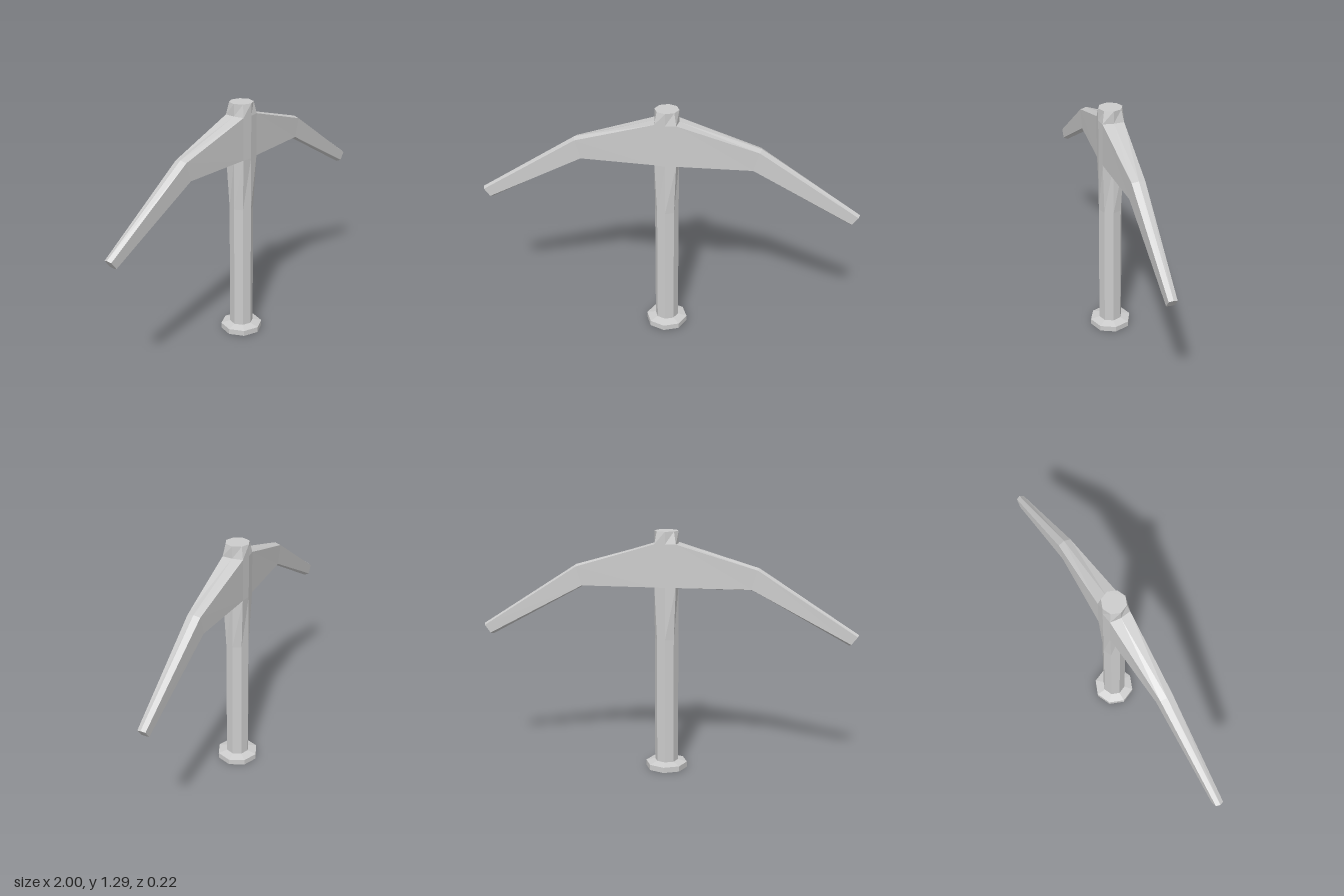
import * as THREE from 'three';

const material = new THREE.MeshStandardMaterial({ color: 0xcccccc, flatShading: true, side: THREE.DoubleSide });

// Skins a list of equal-length rings of [x, y, z] points and closes the last ring.
function loft(name, rings, capEnd = true) {
  const n = rings[0].length;
  const index = [];
  for (let r = 0; r < rings.length - 1; r++) {
    for (let i = 0; i < n; i++) {
      const j = (i + 1) % n;
      const a = r * n + i, b = r * n + j;
      index.push(a, a + n, b, b, a + n, b + n);
    }
  }
  if (capEnd) {
    const o = (rings.length - 1) * n;
    for (let i = 1; i < n - 1; i++) index.push(o, o + i + 1, o + i);
  }
  const indexed = new THREE.BufferGeometry();
  indexed.setAttribute('position', new THREE.Float32BufferAttribute(rings.flat(2), 3));
  indexed.setIndex(index);
  const geometry = indexed.toNonIndexed();
  geometry.computeVertexNormals();
  const mesh = new THREE.Mesh(geometry, material);
  mesh.name = name;
  return mesh;
}

// Eight-sided ring: r is the reach along the axes, c the x and z of the diagonal corners.
function octagon(y, r, c = r * Math.SQRT1_2) {
  return [[r, 0], [c, c], [0, r], [-c, c], [-r, 0], [-c, -c], [0, -r], [c, -c]].map(([x, z]) => [x, y, z]);
}

// Six-sided arm section: ridge and shoulder points in [x, y], with half thickness z.
function armSection(topRidge, topSide, bottomSide, bottomRidge, z) {
  return [
    [...topRidge, 0], [...topSide, -z], [...bottomSide, -z],
    [...bottomRidge, 0], [...bottomSide, z], [...topSide, z],
  ];
}

export function createModel() {
  const model = new THREE.Group();
  model.name = 'pickaxe';

  // Foot flange, open underneath
  model.add(loft('pommel', [octagon(0, 0.112), octagon(0.03, 0.112), octagon(0.042, 0.063)], false));

  // Octagonal handle that squares off where it meets the head, then tapers back
  model.add(loft('handle', [
    octagon(0.042, 0.063),
    octagon(0.72, 0.063),
    octagon(1.0, 0.063, 0.056),
    octagon(1.225, 0.063, 0.056),
    octagon(1.29, 0.063),
  ]));

  // Two drooping, tapering arms of the head
  for (const [name, turn] of [['leftPick', 0], ['rightPick', Math.PI]]) {
    const arm = loft(name, [
      armSection([0.063, 1.225], [0.056, 1.225], [0.056, 1.0], [0.063, 1.0], 0.056),
      armSection([0.482, 1.105], [0.476, 1.097], [0.446, 0.997], [0.45, 0.989], 0.034),
      armSection([1.0, 0.77], [0.993, 0.763], [0.962, 0.722], [0.953, 0.713], 0.021),
    ]);
    arm.rotation.y = turn;
    model.add(arm);
  }

  return model;
}
